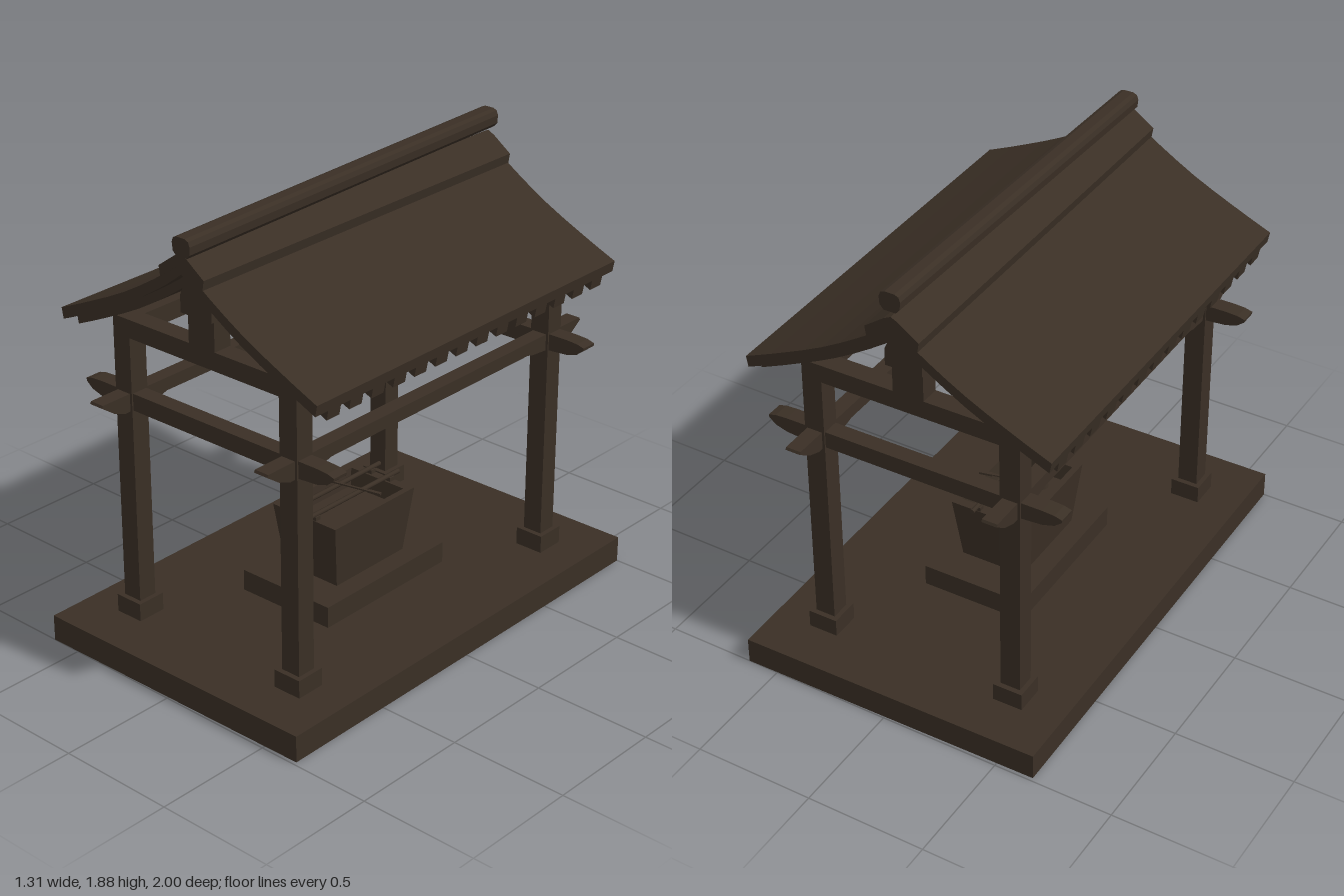
import * as THREE from 'three';

const wood = new THREE.MeshStandardMaterial({ color: 0x3a2f25 });
wood.name = 'dark wood';

export function createModel() {
  const group = new THREE.Group();

  const add = (name, geo, x = 0, y = 0, z = 0) => {
    const mesh = new THREE.Mesh(geo, wood);
    mesh.name = name;
    mesh.position.set(x, y, z);
    group.add(mesh);
    return mesh;
  };
  // Box given by width, bottom, top and depth
  const block = (name, w, y0, y1, d, x = 0, z = 0) =>
    add(name, new THREE.BoxGeometry(w, y1 - y0, d), x, (y0 + y1) / 2, z);
  // Outline in x/y, extruded along z and centred on it
  const extrude = (points, depth) => {
    const shape = new THREE.Shape(points.map(([x, y]) => new THREE.Vector2(x, y)));
    return new THREE.ExtrudeGeometry(shape, { depth, bevelEnabled: false }).translate(0, 0, -depth / 2);
  };
  // Adds the mirror image of a half outline, listed from the bottom middle to the top middle
  const mirrored = (half) => [...half, ...half.map(([x, y]) => [-x, y]).reverse()];

  // Floor, posts and footings
  block('base', 1.29, 0, 0.11, 1.985);
  for (const x of [-0.42, 0.42]) {
    for (const z of [-0.735, 0.735]) {
      block('footing', 0.125, 0.11, 0.185, 0.125, x, z);
      block('post', 0.085, 0.185, 1.31, 0.082, x, z);
    }
  }

  // Lower tie beams with shaped noses
  const crossTie = mirrored([
    [0.46, 1.01], [0.55, 1.017], [0.6, 1.032], [0.63, 1.056], [0.632, 1.068], [0.6, 1.077], [0.55, 1.08],
  ]);
  const longTie = mirrored([
    [0.58, 1.024], [0.61, 1.016], [0.7, 1.008], [0.8, 1.004], [0.86, 1.026], [0.92, 1.068], [0.915, 1.078],
  ]);
  for (const s of [-1, 1]) {
    add('crossTieBeam', extrude(crossTie, 0.07), 0, 0, s * 0.735);
    add('longTieBeam', extrude(longTie, 0.064).rotateY(Math.PI / 2), s * 0.42, 0, 0);
    // Top frame and king posts
    block('topCrossBeam', 0.925, 1.31, 1.385, 0.082, 0, s * 0.735);
    block('topLongBeam', 0.084, 1.31, 1.384, 1.39, s * 0.42);
    block('kingPost', 0.13, 1.385, 1.51, 0.082, 0, s * 0.735);
  }
  add('ridgePurlin', extrude(mirrored([
    [0.078, 1.51], [0.078, 1.58], [0.05, 1.64], [0.015, 1.69],
  ]), 1.6));

  // Curved roof: one slab, with rafters following its underside
  const slope = new THREE.SplineCurve([
    [0, 1.745], [0.11, 1.663], [0.3, 1.548], [0.5, 1.452], [0.642, 1.39],
  ].map(([x, y]) => new THREE.Vector2(x, y))).getPoints(10).map((p) => [p.x, p.y]);
  const layer = (top, bottom) => {
    const low = slope.map(([x, y]) => [x * (1 - bottom * 0.3), y - bottom]);
    const high = slope.map(([x, y]) => [x * (1 - top * 0.3), y - top]).reverse();
    const right = [...low, ...high];
    const left = [...high.slice(0, -1).reverse(), ...[...low].slice(1).reverse()]
      .map(([x, y]) => [-x, y]);
    return [...right, ...left];
  };
  add('roof', extrude(layer(0, 0.045), 1.735));
  const rafter = extrude(layer(0.045, 0.085), 0.066);
  for (let i = 0; i < 14; i++) add('rafter', rafter, 0, 0, -0.767 + (i * 1.534) / 13);

  // Ridge boards and tilted ridge pole
  add('ridgeBoards', extrude([
    [0, 1.74], [0.105, 1.665], [0.112, 1.706], [0.03, 1.765], [0, 1.78],
    [-0.03, 1.765], [-0.112, 1.706], [-0.105, 1.665],
  ], 1.738));
  const pole = add('ridgePole', extrude(mirrored([
    [0.025, -0.038], [0.041, -0.02], [0.044, 0.012], [0.037, 0.031], [0.02, 0.038],
  ]), 1.738), 0.003, 1.821, 0);
  pole.rotation.x = 0.0215;

  // Plinth and hollow, flared basin
  block('plinth', 0.45, 0.11, 0.2, 0.7);
  const profile = [[0, 0.2], [0.2, 0.2], [0.238, 0.475], [0.2, 0.475], [0.19, 0.4], [0, 0.4]]
    .map(([r, y]) => new THREE.Vector2(r * Math.SQRT2, y));
  const basin = new THREE.LatheGeometry(profile, 4, Math.PI / 4).scale(0.69, 1, 1).toNonIndexed();
  basin.computeVertexNormals();
  add('basin', basin);

  // Rails across the basin, resting on small blocks
  for (const x of [-0.052, 0.048]) {
    add('rail', new THREE.CylinderGeometry(0.01, 0.01, 0.55, 8).rotateX(Math.PI / 2), x, 0.496, 0);
    for (const z of [-0.222, 0.222]) block('railRest', 0.028, 0.47, 0.492, 0.026, x, z);
  }

  // Ladle lying upside down on the rails
  add('ladleCup', new THREE.CylinderGeometry(0.019, 0.028, 0.04, 12), -0.11, 0.524, 0);
  const handle = new THREE.Group();
  handle.name = 'ladleHandle';
  const shaft = new THREE.Mesh(new THREE.BoxGeometry(0.25, 0.006, 0.01), wood);
  shaft.name = 'ladleShaft';
  shaft.position.x = 0.125;
  const grip = new THREE.Mesh(new THREE.BoxGeometry(0.055, 0.009, 0.016), wood);
  grip.name = 'ladleGrip';
  grip.position.x = 0.233;
  handle.add(shaft, grip);
  handle.position.set(-0.11, 0.51, 0);
  handle.rotation.y = 0.21;
  group.add(handle);

  // The whole shelter stands very slightly turned
  group.rotation.y = 0.012;
  return group;
}
